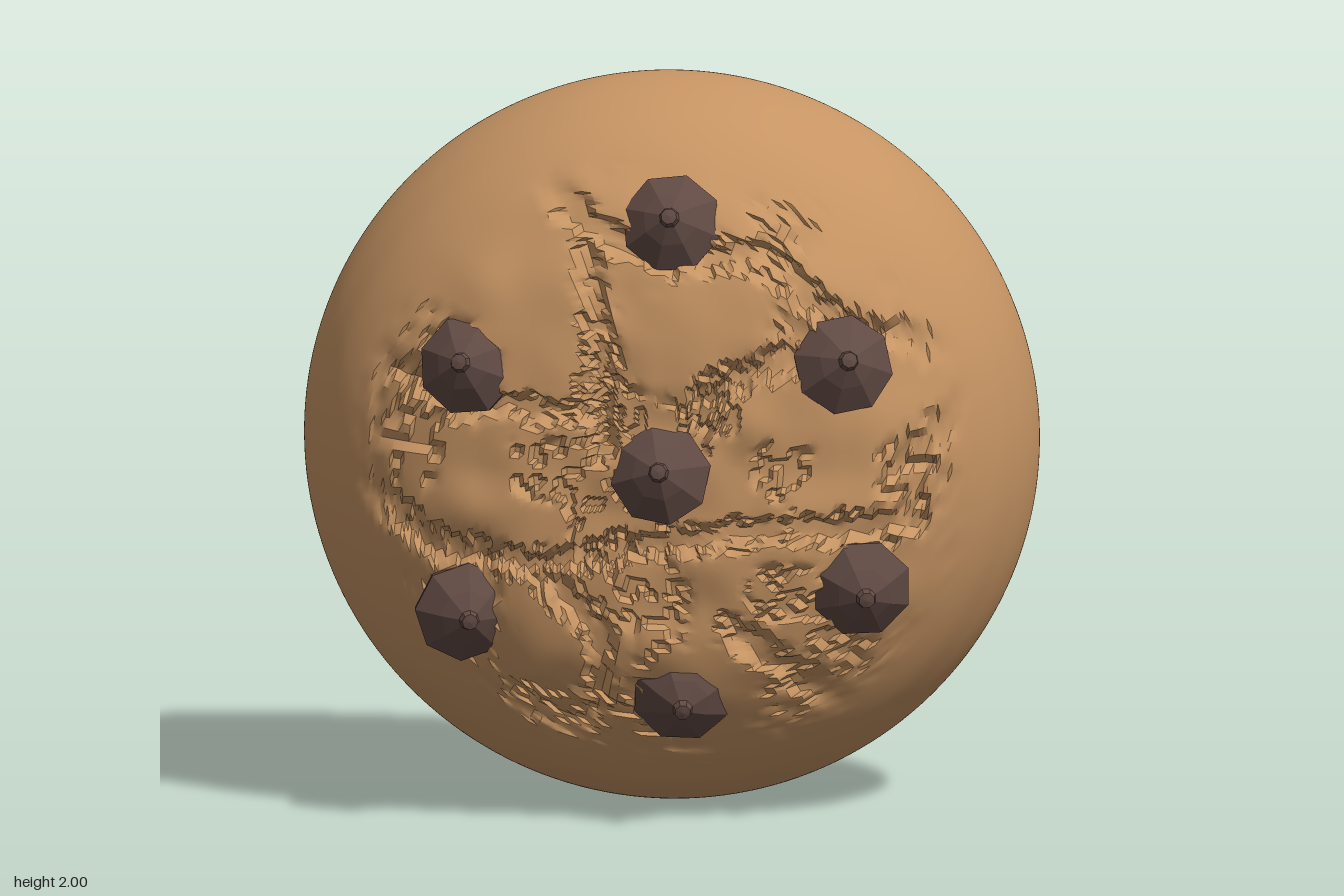
import * as THREE from 'three';
import { toCreasedNormals } from 'three/addons/utils/BufferGeometryUtils.js';

const v2 = ([x, y]) => new THREE.Vector2(x, y);

// Repeatable value noise
function hash(i, j) {
  const s = Math.sin(i * 127.1 + j * 311.7) * 43758.5453;
  return s - Math.floor(s);
}
function noise(x, y) {
  const i = Math.floor(x), j = Math.floor(y);
  const u = THREE.MathUtils.smoothstep(x - i, 0, 1);
  const v = THREE.MathUtils.smoothstep(y - j, 0, 1);
  const { lerp } = THREE.MathUtils;
  return lerp(lerp(hash(i, j), hash(i + 1, j), u), lerp(hash(i, j + 1), hash(i + 1, j + 1), u), v);
}

// Crack paths across the crust, as x, y
const cracks = [
  [[-0.15, 1.05], [-0.15, 1.3], [-0.2, 1.6]],
  [[-0.3, 1.76], [-0.18, 1.63], [0.04, 1.57], [0.28, 1.58], [0.48, 1.4], [0.82, 1.3]],
  [[0.1, 1.06], [0.14, 1.22], [0.35, 1.3]],
  [[-0.78, 1.28], [-0.6, 1.18], [-0.17, 1.15]],
  [[-0.8, 0.92], [-0.63, 0.78], [-0.31, 0.73], [0.0, 0.8], [0.38, 0.84], [0.68, 0.84], [0.7, 1.05], [0.84, 1.18]],
  [[-0.4, 0.36], [-0.25, 0.26], [-0.18, 0.33], [-0.15, 0.54], [-0.31, 0.7]],
  [[0.2, 0.56], [0.48, 0.33]],
];

function distanceToCracks(x, y) {
  let best = 9;
  for (const path of cracks) {
    for (let k = 1; k < path.length; k++) {
      const [ax, ay] = path[k - 1], [bx, by] = path[k];
      const dx = bx - ax, dy = by - ay;
      const t = THREE.MathUtils.clamp(((x - ax) * dx + (y - ay) * dy) / (dx * dx + dy * dy), 0, 1);
      best = Math.min(best, Math.hypot(x - ax - dx * t, y - ay - dy * t));
    }
  }
  return best;
}

// How far the crust sinks at a point: ragged cracks, stepped crumbs and soft lumps
function crustDepth(x, y) {
  const fade = 1 - THREE.MathUtils.smoothstep(Math.hypot(x, y - 1), 0.62, 0.88);
  const cx = Math.floor((x + 0.003) / 0.028), cy = Math.floor((y + 0.003) / 0.028);
  const d = distanceToCracks(x, y) + (hash(cx, cy) - 0.5) * 0.035;
  const crack = 0.06 * (1 - THREE.MathUtils.smoothstep(d, 0.015, 0.05));
  const patch = THREE.MathUtils.smoothstep(noise(x * 6 + 9, y * 6), 0.5, 0.75);
  const crumbs = 0.03 * patch * (hash(cx + 40, cy) > 0.6 ? 1 : 0);
  const lumps = 0.03 * (noise(x * 8 + 3, y * 8 + 5) - 0.4);
  return fade * (crack + crumbs + lumps);
}

function makeShell(material) {
  // Rounded outside from the back rim to the middle of the front
  const outside = new THREE.SplineCurve([
    [0.85, -0.432], [0.88, -0.444], [0.94, -0.415], [0.985, -0.35], [1, -0.27], [0.987, -0.18],
    [0.955, -0.09], [0.9, 0.015], [0.8, 0.125], [0.65, 0.24], [0.5, 0.295], [0.3, 0.325], [0, 0.33],
  ].map(v2));
  const recess = [[0, -0.055], [0.85, -0.055]].map(v2);
  const geometry = new THREE.LatheGeometry([...recess, ...outside.getSpacedPoints(120)], 176);
  geometry.rotateX(Math.PI / 2).translate(0, 1, 0);
  const p = geometry.attributes.position;
  for (let i = 0; i < p.count; i++) {
    if (p.getZ(i) > -0.03) p.setZ(i, p.getZ(i) - crustDepth(p.getX(i), p.getY(i)));
  }
  const mesh = new THREE.Mesh(toCreasedNormals(geometry, 0.6), material);
  mesh.name = 'cookieShell';
  return mesh;
}

export function createModel() {
  const group = new THREE.Group();
  group.name = 'chocolateChipCookie';
  const dough = new THREE.MeshStandardMaterial({ color: 0xc69463 });
  const chocolate = new THREE.MeshStandardMaterial({ color: 0x614a44, flatShading: true });
  group.add(makeShell(dough));

  // Eight-sided chip with a pinched tip, pointing along +y
  const chipGeometry = new THREE.LatheGeometry(
    [[0, -0.09], [0.09, -0.075], [0.132, -0.03], [0.138, 0.005], [0.075, 0.06], [0.028, 0.09], [0.022, 0.112], [0, 0.116]].map(v2), 8);

  // Centre x, y, z, then the sideways lean of the tip in x, y
  const chips = [
    [0.01, 0.99, 0.333, 0.0, 0.25],
    [0.03, 1.66, 0.2, 0.0, 0.36],
    [0.5, 1.285, 0.25, 0.24, 0.3],
    [-0.52, 1.27, 0.235, -0.18, 0.25],
    [0.55, 0.67, 0.24, 0.2, -0.15],
    [-0.53, 0.59, 0.225, 0.2, -0.1],
    [0.06, 0.365, 0.205, 0.08, -0.3],
  ];
  const up = new THREE.Vector3(0, 1, 0);
  chips.forEach(([x, y, z, leanX, leanY], i) => {
    const chip = new THREE.Mesh(chipGeometry, chocolate);
    chip.name = `chocolateChip${i + 1}`;
    chip.position.set(x, y, z);
    chip.quaternion.setFromUnitVectors(up, new THREE.Vector3(leanX, leanY, 1).normalize());
    chip.rotateY(0.2 + i * 0.3);
    group.add(chip);
  });
  return group;
}
